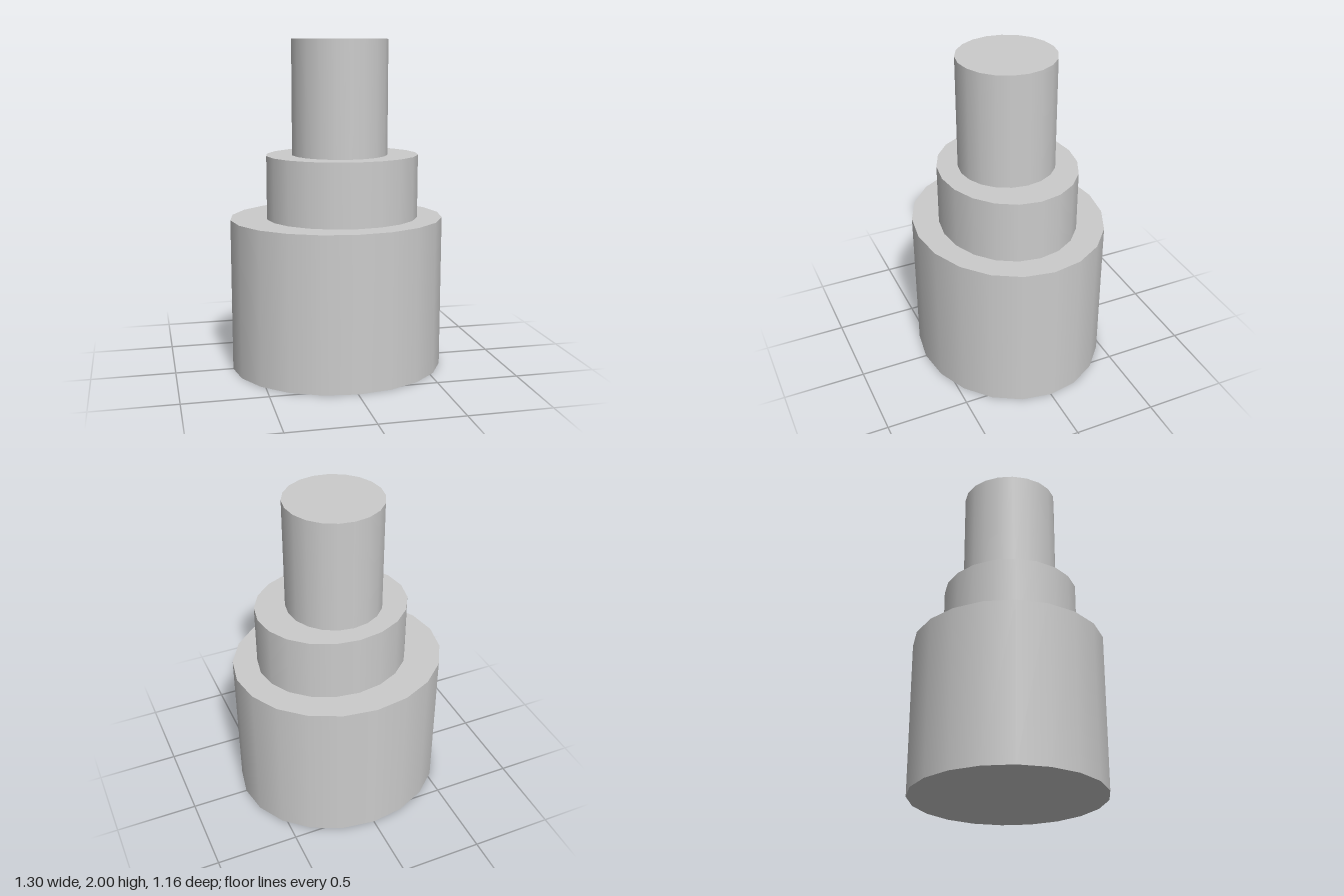
import * as THREE from 'three';

const SIDES = 20;

// Elliptical drum between two heights, centred at (x, z)
function drum(name, rx, rz, y0, y1, x, z, material) {
  const geometry = new THREE.CylinderGeometry(1, 1, y1 - y0, SIDES);
  geometry.scale(rx, 1, rz);
  const mesh = new THREE.Mesh(geometry, material);
  mesh.position.set(x, (y0 + y1) / 2, z);
  mesh.name = name;
  return mesh;
}

export function createModel() {
  const group = new THREE.Group();
  group.name = 'steppedTower';
  const grey = new THREE.MeshStandardMaterial({ color: 0xcccccc });

  // Three stacked tiers, the upper two slightly off centre
  group.add(
    drum('baseTier', 0.65, 0.578, 0, 0.93, 0, 0, grey),
    drum('middleTier', 0.463, 0.412, 0.93, 1.313, 0.032, 0.015, grey),
    drum('topTier', 0.29, 0.291, 1.313, 2, 0.017, 0.011, grey),
  );
  return group;
}
